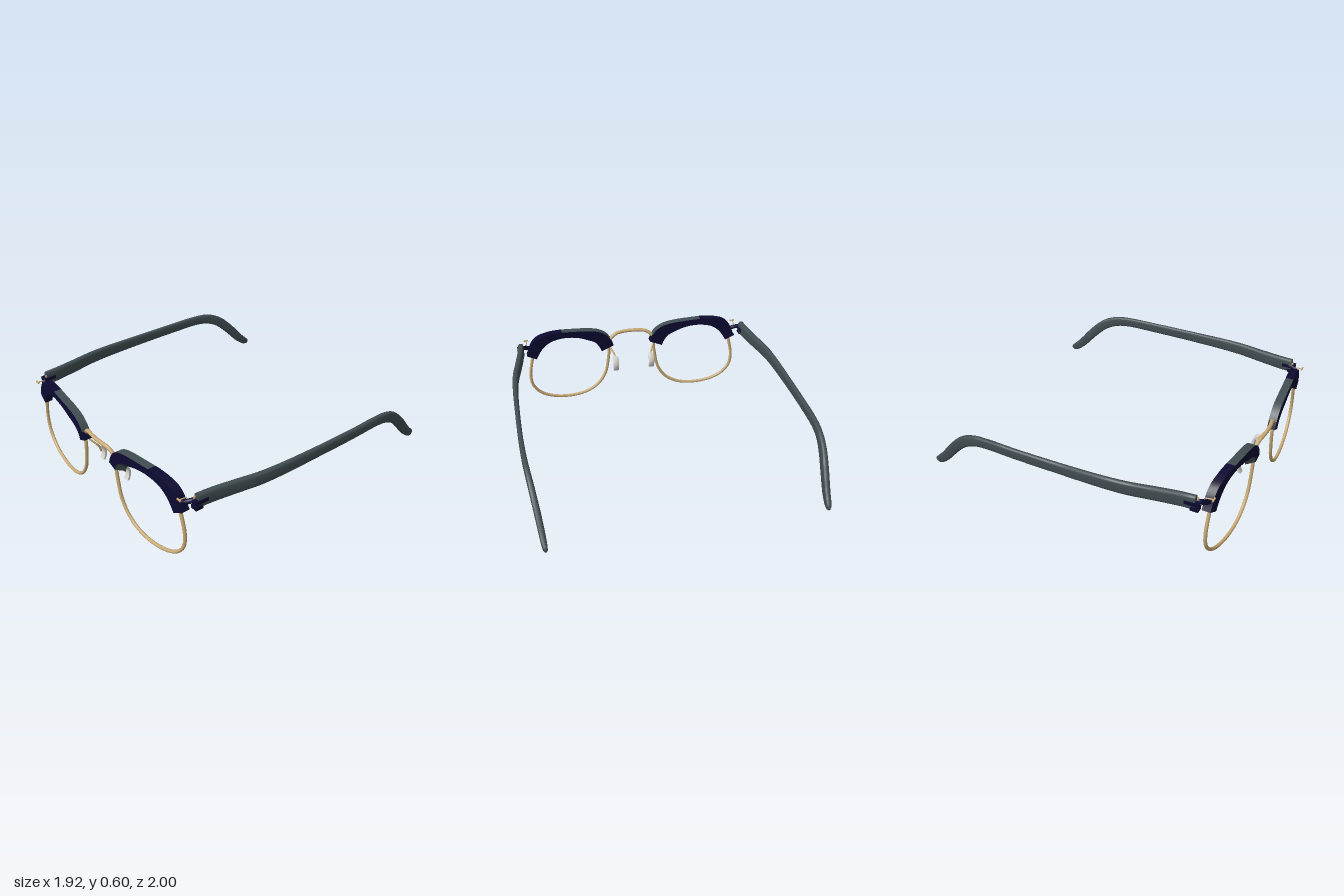
import * as THREE from 'three';
import { toCreasedNormals } from 'three/addons/utils/BufferGeometryUtils.js';

const mat = (name, color) => {
  const m = new THREE.MeshStandardMaterial({ color });
  m.name = name;
  return m;
};
const V = (x, y, z = 0) => new THREE.Vector3(x, y, z);

// The front of the frame bows gently backwards towards the sides
const frontZ = (x) => 0.967 - 0.08 * x * x;

export function createModel() {
  const gold = mat('gold', 0xc9ab76);
  const navy = mat('navy', 0x0c0a30);
  const grey = mat('slate grey', 0x414d51);
  const white = mat('pad white', 0xd9d6d0);
  const model = new THREE.Group();

  const add = (parent, name, geometry, material) => {
    const mesh = new THREE.Mesh(geometry, material);
    mesh.name = name;
    parent.add(mesh);
    return mesh;
  };

  // Skins a row of rings; pick() chooses the material of each strip quad
  const loft = (parent, name, rings, side, pick) => {
    const lists = new Map();
    const put = (material, ...pts) => {
      if (!lists.has(material)) lists.set(material, []);
      for (const p of pts) lists.get(material).push(p.x, p.y, p.z);
    };
    const R = rings.map((r) => {
      const m = r.map((p) => V(p.x * side, p.y, p.z));
      return side < 0 ? m.reverse() : m;
    });
    const n = R[0].length;
    const last = R.length - 1;
    const mid = (r) => r.reduce((a, p) => a.add(p), V(0, 0)).divideScalar(n);
    for (let j = 0; j < n; j++) {
      const k = (j + 1) % n;
      const strip = side < 0 ? (2 * n - 2 - j) % n : j;
      for (let i = 0; i < last; i++) {
        const [a, b, c, d] = [R[i][j], R[i][k], R[i + 1][k], R[i + 1][j]];
        put(pick(strip, Math.abs(a.x + b.x + c.x + d.x) / 4), a, b, c, a, c, d);
      }
      put(pick(-1, 0), mid(R[0]), R[0][k], R[0][j]);
      put(pick(-1, 0), mid(R[last]), R[last][j], R[last][k]);
    }
    for (const [material, list] of lists) {
      const g = new THREE.BufferGeometry();
      g.setAttribute('position', new THREE.Float32BufferAttribute(list, 3));
      add(parent, `${name} ${material.name}`, toCreasedNormals(g, 0.7), material);
    }
  };

  const tube = (parent, name, pts, radius, material, closed = false, steps = 24) => {
    const curve = new THREE.CatmullRomCurve3(pts, closed);
    return add(parent, name, new THREE.TubeGeometry(curve, steps, radius, 10, closed), material);
  };

  const rimPoints = [
    [0.18, 0.4], [0.19, 0.29], [0.215, 0.18], [0.275, 0.09], [0.37, 0.032], [0.49, 0.013],
    [0.63, 0.032], [0.735, 0.085], [0.795, 0.165], [0.807, 0.26], [0.79, 0.36], [0.767, 0.44],
    [0.72, 0.51], [0.63, 0.56], [0.5, 0.57], [0.36, 0.545], [0.25, 0.5], [0.195, 0.45],
  ];
  const browOuter = [
    [0.145, 0.43], [0.165, 0.48], [0.195, 0.522], [0.25, 0.558], [0.325, 0.577], [0.45, 0.59],
    [0.59, 0.598], [0.67, 0.59], [0.74, 0.568], [0.785, 0.52], [0.8, 0.48], [0.82, 0.44],
  ];
  const browFront = [
    [0.205, 0.405], [0.23, 0.455], [0.28, 0.49], [0.35, 0.512], [0.43, 0.536],
    [0.53, 0.547], [0.63, 0.532], [0.685, 0.497], [0.72, 0.455], [0.75, 0.402],
  ];
  const browBack = [
    [0.24, 0.39], [0.255, 0.425], [0.285, 0.47], [0.35, 0.505], [0.43, 0.535],
    [0.53, 0.547], [0.63, 0.53], [0.685, 0.495], [0.72, 0.453], [0.75, 0.402],
  ];
  // Temple stations: x, y, z, half width, half height
  const temple = [
    [0.86, 0.518, 0.865, 0.02, 0.048], [0.868, 0.518, 0.78, 0.021, 0.047],
    [0.895, 0.517, 0.62, 0.021, 0.045], [0.925, 0.516, 0.46, 0.02, 0.043],
    [0.938, 0.515, 0.3, 0.018, 0.041], [0.944, 0.513, 0, 0.016, 0.037],
    [0.944, 0.511, -0.3, 0.016, 0.035], [0.938, 0.51, -0.5, 0.017, 0.034],
    [0.93, 0.495, -0.61, 0.018, 0.036], [0.918, 0.45, -0.71, 0.02, 0.037],
    [0.903, 0.36, -0.81, 0.021, 0.036], [0.89, 0.26, -0.9, 0.02, 0.033],
    [0.884, 0.213, -0.955, 0.018, 0.029], [0.881, 0.197, -0.985, 0.014, 0.02],
    [0.88, 0.192, -0.998, 0.006, 0.008],
  ];

  const spline = (pts) => new THREE.CatmullRomCurve3(pts.map(([x, y]) => V(x, y)));

  for (const side of [1, -1]) {
    const half = new THREE.Group();
    half.name = side > 0 ? 'left half' : 'right half';
    model.add(half);
    const S = (pts) => pts.map(([x, y, z]) => V(x * side, y, z));

    // Thin wire rim
    tube(half, 'rim', S(rimPoints.map(([x, y]) => [x, y, frontZ(x)])), 0.0115, gold, true, 96);

    // Brow bar, with grey upper edge and nose chamfer
    const [o, f, b] = [browOuter, browFront, browBack].map(spline);
    const rings = [];
    for (let i = 0; i <= 44; i++) {
      const at = (curve, dz) => {
        const p = curve.getPointAt(i / 44);
        return V(p.x, p.y, frontZ(p.x) + dz);
      };
      rings.push([at(o, 0.026), at(f, 0.026), at(b, -0.028), at(o, -0.028)]);
    }
    loft(half, 'brow bar', rings, side, (strip, x) =>
      (strip === 3 && x > 0.17 && x < 0.55) || (strip === 1 && x < 0.35) ? grey : navy);

    // Temple arm with a rounded rectangular section
    const path = new THREE.CatmullRomCurve3(temple.map(([x, y, z]) => V(x, y, z)));
    const arm = [];
    const steps = (temple.length - 1) * 3;
    for (let i = 0; i <= steps; i++) {
      const t = i / steps;
      const c = path.getPoint(t);
      const d = path.getTangent(t);
      const len = Math.hypot(d.y, d.z);
      const k = Math.min(Math.floor(i / 3), temple.length - 2);
      const mix = (q) => THREE.MathUtils.lerp(temple[k][q], temple[k + 1][q], i / 3 - k);
      const ring = [];
      for (let j = 0; j < 20; j++) {
        const a = (j / 20) * Math.PI * 2;
        const soft = (v) => Math.sign(v) * Math.abs(v) ** 0.55;
        const w = mix(3) * soft(Math.cos(a));
        const h = mix(4) * soft(Math.sin(a));
        ring.push(V(c.x - w, c.y - (h * d.z) / len, c.z + (h * d.y) / len));
      }
      arm.push(ring);
    }
    loft(half, 'temple', arm, side, () => grey);

    // Hinge: curved lug, knuckle leaves and pin
    tube(half, 'hinge lug', S([[0.785, 0.49, 0.915], [0.815, 0.503, 0.908], [0.84, 0.516, 0.885], [0.852, 0.518, 0.85]]), 0.016, navy);
    for (const [y, depth] of [[0.516, 0.09], [0.482, 0.05]]) {
      const leaf = add(half, 'hinge leaf', new THREE.BoxGeometry(0.046, 0.024, depth), navy);
      leaf.position.set(0.864 * side, y, 0.89 - depth / 2);
    }
    const pin = add(half, 'hinge pin', new THREE.CylinderGeometry(0.007, 0.007, 0.07, 10), gold);
    pin.position.set(0.848 * side, 0.51, 0.872);
    tube(half, 'rivet stem', S([[0.815, 0.53, 0.9], [0.815, 0.535, 0.925], [0.815, 0.538, 0.953]]), 0.004, gold, false, 6);
    const head = add(half, 'rivet head', new THREE.BoxGeometry(0.034, 0.01, 0.008), gold);
    head.position.set(0.815 * side, 0.538, 0.953);

    // Nose pad on its wire arm
    tube(half, 'pad arm', S([[0.18, 0.43, 0.955], [0.165, 0.4, 0.935], [0.148, 0.37, 0.91], [0.142, 0.34, 0.892], [0.142, 0.305, 0.882]]), 0.0065, gold);
    const pad = [];
    for (let i = 0; i <= 10; i++) {
      const t = i / 10;
      const y = 0.357 - 0.113 * t;
      const z = 0.883 - 0.02 * Math.sin(Math.PI * t) - 0.008 * t;
      const ring = [];
      for (let j = 0; j < 12; j++) {
        const a = (j / 12) * Math.PI * 2;
        const soft = (v) => Math.sign(v) * Math.abs(v) ** 0.6;
        ring.push(V(0.141 + 0.022 * soft(Math.cos(a)), y, z + 0.011 * soft(Math.sin(a))));
      }
      pad.push(ring);
    }
    loft(half, 'nose pad', pad, side, () => white);
  }

  // Arched bridge joining the two brow bars
  const bridge = [[-0.17, 0.47], [-0.15, 0.493], [-0.115, 0.514], [-0.06, 0.521], [0, 0.522],
    [0.06, 0.521], [0.115, 0.514], [0.15, 0.493], [0.17, 0.47]];
  tube(model, 'bridge', bridge.map(([x, y]) => V(x, y, 0.986 - 0.9 * x * x)), 0.013, gold, false, 40);

  return model;
}
